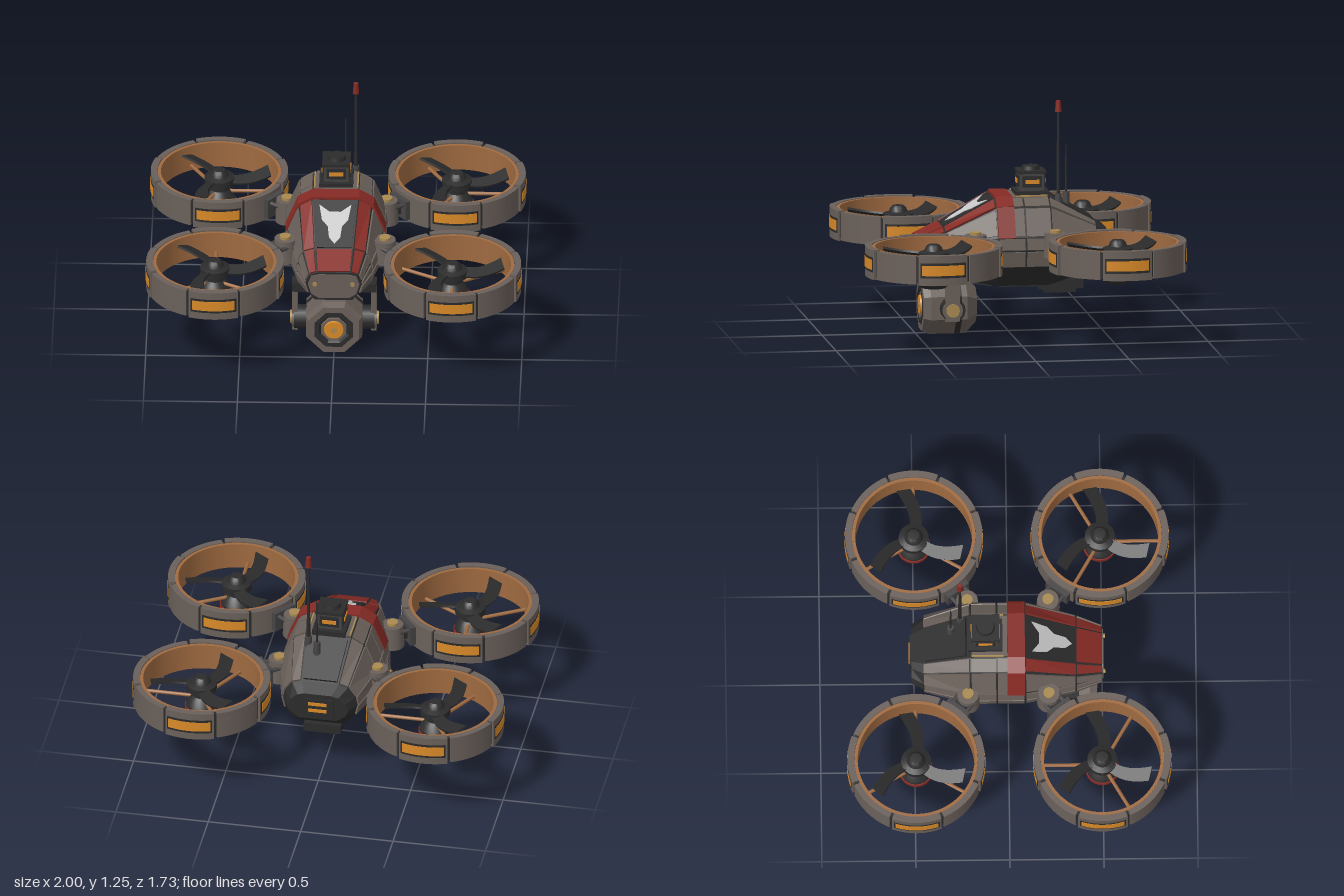
import * as THREE from 'three';
import { toCreasedNormals } from 'three/addons/utils/BufferGeometryUtils.js';

const mat = (name, color) => {
  const m = new THREE.MeshStandardMaterial({ color });
  m.name = name;
  return m;
};
const M = {
  gray: mat('warm gray armour', 0x6a605a), dark: mat('charcoal', 0x2b2b2c),
  red: mat('dull red', 0x852a24), copper: mat('copper', 0x9f6a40),
  orange: mat('amber light', 0xd98a28), white: mat('pale paint', 0xc8c8c8),
  brass: mat('brass', 0xa98a50), steel: mat('steel', 0x464444),
};
const PI = Math.PI;

function add(parent, name, geo, material, x = 0, y = 0, z = 0) {
  const m = new THREE.Mesh(geo, material);
  m.name = name;
  m.position.set(x, y, z);
  parent.add(m);
  return m;
}
const box = (w, h, d) => new THREE.BoxGeometry(w, h, d);
const cyl = (r1, r2, h, n = 20) => new THREE.CylinderGeometry(r1, r2, h, n);
function flat(g) {
  const f = g.index ? g.toNonIndexed() : g;
  f.computeVertexNormals();
  return f;
}
const lathe = (pts, n) => new THREE.LatheGeometry(pts.map(p => new THREE.Vector2(...p)), n);

// Upright ring segment between two radii, centred on y = 0
function arc(r0, r1, a0, a1, h, n = 12) {
  const s = new THREE.Shape();
  s.absarc(0, 0, r1, a0, a1, false);
  s.absarc(0, 0, r0, a1, a0, true);
  const g = new THREE.ExtrudeGeometry(s, { depth: h, bevelEnabled: false, curveSegments: n });
  return toCreasedNormals(g.translate(0, 0, -h / 2).rotateX(-PI / 2), 0.5);
}
function ring(r0, r1, h) {
  const s = new THREE.Shape().absarc(0, 0, r1, 0, PI * 2, false);
  s.holes.push(new THREE.Path().absarc(0, 0, r0, 0, PI * 2, true));
  const g = new THREE.ExtrudeGeometry(s, { depth: h, bevelEnabled: false, curveSegments: 56 });
  return toCreasedNormals(g.translate(0, 0, -h / 2).rotateX(-PI / 2), 0.5);
}

// Hull stations from nose to tail: z, then half-section [x, y] from roof edge to keel edge
const mid = [[.12, .73], [.19, .69], [.252, .54], [.262, .47], [.245, .38], [.17, .27]];
const stations = [
  [.5, [[.09, .515], [.13, .5], [.145, .465], [.145, .44], [.13, .39], [.1, .35]]],
  [.36, [[.1, .58], [.165, .56], [.19, .5], [.2, .45], [.185, .38], [.13, .32]]],
  [.09, mid], [-.2, mid],
  [-.45, [[.1, .59], [.15, .575], [.19, .52], [.2, .475], [.185, .41], [.13, .345]]],
  [-.515, [[.075, .555], [.11, .545], [.15, .51], [.165, .47], [.145, .43], [.1, .4]]],
];
function hullPoint(k, z) {
  k = (k + 12) % 12;
  const j = k < 6 ? k : 11 - k;
  let i = 0;
  while (i < stations.length - 2 && z < stations[i + 1][0]) i++;
  const [z0, a] = stations[i], [z1, b] = stations[i + 1], t = (z - z0) / (z1 - z0);
  const x = a[j][0] + (b[j][0] - a[j][0]) * t, y = a[j][1] + (b[j][1] - a[j][1]) * t;
  return new THREE.Vector3(k < 6 ? x : -x, y, z);
}
function hullGeometry() {
  const pos = [], tri = (...p) => p.forEach(v => pos.push(v.x, v.y, v.z));
  for (let i = 0; i < stations.length - 1; i++) {
    const z0 = stations[i][0], z1 = stations[i + 1][0];
    for (let k = 0; k < 12; k++) {
      const a = hullPoint(k, z0), b = hullPoint(k + 1, z0), c = hullPoint(k + 1, z1), d = hullPoint(k, z1);
      tri(a, b, c, a, c, d);
    }
  }
  const f = stations[0][0], r = stations[stations.length - 1][0];
  for (let k = 1; k < 11; k++) {
    tri(hullPoint(0, f), hullPoint(k + 1, f), hullPoint(k, f));
    tri(hullPoint(0, r), hullPoint(k, r), hullPoint(k + 1, r));
  }
  const g = new THREE.BufferGeometry();
  g.setAttribute('position', new THREE.Float32BufferAttribute(pos, 3));
  return flat(g);
}
// Armour plate lying on hull face k between two z values, inset by a margin
function plate(parent, name, material, k, z0, z1, t = .009, gap = .005) {
  const a = hullPoint(k, z0), b = hullPoint(k + 1, z0), c = hullPoint(k + 1, z1), d = hullPoint(k, z1);
  const n = b.clone().sub(a).add(c).sub(d).cross(d.clone().sub(a)).normalize();
  const eu = gap / a.distanceTo(b), ev = gap / a.distanceTo(d);
  const g = box(1, 1, 1), p = g.attributes.position;
  for (let i = 0; i < p.count; i++) {
    const u = p.getX(i) > 0 ? 1 - eu : eu, v = p.getY(i) > 0 ? 1 - ev : ev;
    const q = a.clone().lerp(b, u).lerp(d.clone().lerp(c, u), v);
    q.addScaledVector(n, p.getZ(i) > 0 ? t : -.004);
    p.setXYZ(i, q.x, q.y, q.z);
  }
  add(parent, name, flat(g), material);
}

function buildHull(root) {
  const g = new THREE.Group();
  g.name = 'hull';
  root.add(g);
  add(g, 'hullCore', hullGeometry(), M.dark);
  const spans = [[.5, .36], [.36, .09], [.09, -.06], [-.06, -.2], [-.2, -.45]];
  spans.forEach(([z0, z1], i) => {
    for (const k of [0, 1, 2, 3]) for (const f of [k, 10 - k])
      plate(g, 'sidePlate', k === 0 && i < 2 ? M.red : M.gray, f, z0, z1);
  });
  plate(g, 'noseTopPlate', M.red, 11, .5, .36);
  plate(g, 'roofPlate', M.gray, 11, 0, -.2);
  plate(g, 'rearDeck', M.dark, 11, -.21, -.45, .014, .012);
  plate(g, 'windshield', M.dark, 11, .36, .09, .006, .008);
  plate(g, 'keelPlate', M.dark, 5, .36, .09, .01, .02);
  plate(g, 'keelPlate', M.dark, 5, .09, -.2, .01, .02);
  for (const k of [11, 0, 10, 1, 9]) plate(g, 'roofBand', M.red, k, .085, 0, .015, -.004);
  // Nose face
  const s = new THREE.Shape([[.08, .505], [.12, .495], [.137, .45], [.12, .39], [.08, .365]]
    .flatMap((p, i, all) => i ? [] : [...all, ...all.slice().reverse().map(q => [-q[0], q[1]])])
    .map(p => new THREE.Vector2(...p)));
  add(g, 'noseFace', new THREE.ExtrudeGeometry(s, { depth: .01, bevelEnabled: false }), M.gray, 0, 0, .497);
  // Plain painted arrowhead on the sloping windshield
  const half = [[.03, -.08], [.085, -.035], [.07, -.13], [.038, -.17], [.03, -.24], [0, -.28]];
  const arrow = new THREE.Shape([...half, ...half.slice(0, 5).reverse().map(p => [-p[0], p[1]])]
    .map(p => new THREE.Vector2(...p)));
  const paint = add(g, 'paintedArrowhead',
    new THREE.ExtrudeGeometry(arrow, { depth: .004, bevelEnabled: false }), M.white, 0, .736, .094);
  paint.rotation.x = -1.063;
  // Tail lights, roof hatch details and bolts
  add(g, 'tailPanel', box(.17, .1, .012), M.dark, 0, .48, -.518);
  for (const y of [.46, .5]) add(g, 'tailLight', box(.1, .018, .008), M.orange, 0, y, -.525);
  for (const x of [-1, 1]) {
    add(g, 'noseBolt', cyl(.012, .012, .012, 10).rotateX(PI / 2), M.brass, x * .1, .45, .51);
    add(g, 'roofRail', box(.008, .008, .17), M.brass, x * .115, .742, -.11);
  }
  // Underslung battery pack
  add(g, 'packMount', box(.14, .08, .16), M.dark, 0, .31, -.26);
  add(g, 'pack', box(.2, .05, .24), M.dark, 0, .26, -.27);
  add(g, 'packBase', box(.14, .03, .17), M.dark, 0, .225, -.27);
}

function buildRoof(root) {
  // Sensor turret
  const t = new THREE.Group();
  t.name = 'sensorTurret';
  t.position.set(0, 0, -.12);
  root.add(t);
  add(t, 'turretBase', box(.18, .03, .18), M.dark, 0, .745, 0);
  add(t, 'turretBody', box(.13, .1, .13), M.steel, 0, .805, 0);
  add(t, 'turretCap', box(.15, .015, .15), M.dark, 0, .86, 0);
  add(t, 'turretDisc', cyl(.045, .05, .02), M.dark, 0, .878, 0);
  for (let i = 0; i < 4; i++) {
    const f = new THREE.Group();
    f.name = 'turretSide';
    f.rotation.y = i * PI / 2;
    t.add(f);
    add(f, 'turretFrame', box(.105, .06, .012), M.dark, 0, .81, .068);
    add(f, 'turretWindow', box(.075, .022, .008), M.orange, 0, .81, .074);
  }
  // Antennas
  for (const [x, z, top, r] of [[.1, -.255, 1.2, .011], [.045, -.305, 1.005, .006]]) {
    add(root, 'antennaRod', cyl(r * .6, r, top - .66, 10), M.dark, x, (top + .66) / 2, z);
    add(root, 'antennaSocket', cyl(.018, .022, .1, 10), M.steel, x, .7, z);
  }
  add(root, 'antennaTip', cyl(.013, .018, .06, 10), M.red, .1, 1.22, -.255);
}

function buildGimbal(root) {
  const g = new THREE.Group();
  g.name = 'cameraGimbal';
  g.position.set(0, .152, .325);
  root.add(g);
  const oct = pts => flat(lathe(pts, 8).rotateY(PI / 8).rotateX(PI / 2));
  add(g, 'cameraHousing', oct([[0, -.145], [.1, -.145], [.162, -.085], [.162, .11], [.145, .147], [.11, .147], [.1, .125], [0, .125]]), M.gray);
  add(g, 'housingBand', oct([[.15, -.055], [.165, -.055], [.165, -.025], [.15, -.025]]), M.dark);
  add(g, 'lensWell', oct([[.07, .12], [.11, .12], [.11, .149], [.085, .149], [.07, .13]]), M.dark);
  add(g, 'lensRing', oct([[.04, .12], [.078, .12], [.07, .145], [0, .145]]), M.gray);
  add(g, 'lens', cyl(.05, .055, .012, 24).rotateX(PI / 2), M.orange, 0, 0, .148);
  add(g, 'lensCentre', cyl(.016, .016, .006, 16).rotateX(PI / 2), M.brass, 0, 0, .155);
  for (const s of [-1, 1]) {
    add(g, 'pivotDrum', cyl(.065, .065, .08, 16).rotateZ(PI / 2), M.dark, s * .175, 0, 0);
    add(g, 'gimbalArm', box(.03, .26, .075), M.gray, s * .21, .07, .005);
    add(g, 'armFoot', cyl(.055, .055, .032, 16).rotateZ(PI / 2), M.gray, s * .21, 0, .005);
    add(g, 'pivotCap', cyl(.036, .036, .012, 20).rotateZ(PI / 2), M.brass, s * .23, 0, .005);
    add(g, 'armMount', box(.09, .05, .09), M.dark, s * .18, .2, .005);
  }
}

function bladeGeometry() {
  const s = new THREE.Shape();
  s.moveTo(.04, .025);
  s.bezierCurveTo(.12, .005, .18, .04, .255, .095);
  s.lineTo(.275, .02);
  s.bezierCurveTo(.2, -.035, .12, -.06, .04, -.03);
  const g = new THREE.ExtrudeGeometry(s, { depth: .012, bevelEnabled: false, curveSegments: 8 });
  g.rotateX(-PI / 2).rotateX(.35);
  return toCreasedNormals(g, 0.6);
}

function buildRotor(root, x, z, strutAngle) {
  const g = new THREE.Group();
  g.name = 'ductedRotor';
  g.position.set(x, .5, z);
  root.add(g);
  add(g, 'ductCore', ring(.32, .352, .135), M.dark);
  add(g, 'ductLiner', ring(.311, .328, .146), M.copper);
  // Outer armour in eight plates, lamps on the four facing the axes
  for (let i = 0; i < 8; i++) {
    const a = i * PI / 4, lit = i % 2 === 0, w = .37;
    add(g, 'ductPlate', arc(.329, lit ? .365 : .361, a - w, a + w, lit ? .16 : .152), M.gray);
    if (!lit) continue;
    add(g, 'lampFrame', arc(.36, .3665, a - .34, a + .34, .08), M.dark);
    add(g, 'lamp', arc(.36, .3685, a - .315, a + .315, .055), M.orange);
  }
  // Motor pod, spinner and blades
  add(g, 'motorPod', toCreasedNormals(lathe([[0, -.15], [.065, -.15], [.083, -.13], [.085, -.08], [.065, -.045], [.05, -.03],
    [.05, 0], [.08, .005], [.08, .04], [.05, .05], [.042, .07], [.03, .082], [0, .084]], 28), .5), M.dark);
  add(g, 'podBand', cyl(.09, .09, .026, 28), M.red, 0, -.105, 0);
  const blade = bladeGeometry();
  for (let i = 0; i < 3; i++) {
    add(g, 'blade', blade, M.dark, 0, .025, 0).rotation.y = i * PI * 2 / 3;
    const strut = add(g, 'strut', cyl(.01, .01, .28, 8).rotateZ(PI / 2).translate(.18, 0, 0), M.copper, 0, -.045, 0);
    strut.rotation.y = strutAngle + i * PI * 2 / 3;
  }
}

function buildBoom(root, sx, sz) {
  const g = new THREE.Group();
  g.name = 'rotorBoom';
  g.position.set(sx * .265, .5, sz * .215);
  g.rotation.y = Math.atan2(-sz * .28, sx * .365);
  root.add(g);
  add(g, 'boomKnuckle', cyl(.058, .064, .13, 16), M.gray);
  add(g, 'boomCap', cyl(.03, .03, .02, 14), M.brass, 0, .07, 0);
  add(g, 'boomBeam', box(.14, .06, .06), M.dark, .06, 0, 0);
  add(g, 'boomBracket', box(.03, .11, .14), M.steel, .088, 0, 0);
  for (const s of [-1, 1]) add(g, 'boomRod', cyl(.012, .012, .11, 8).rotateZ(PI / 2), M.steel, .06, .03, s * .045);
}

export function createModel() {
  const root = new THREE.Group();
  root.name = 'quadrotorDrone';
  buildHull(root);
  buildRoof(root);
  buildGimbal(root);
  for (const sx of [-1, 1]) for (const sz of [-1, 1]) {
    buildRotor(root, sx * .632, sz * .495, sz < 0 ? 0 : -sx * PI / 2);
    buildBoom(root, sx, sz);
  }
  return root;
}
